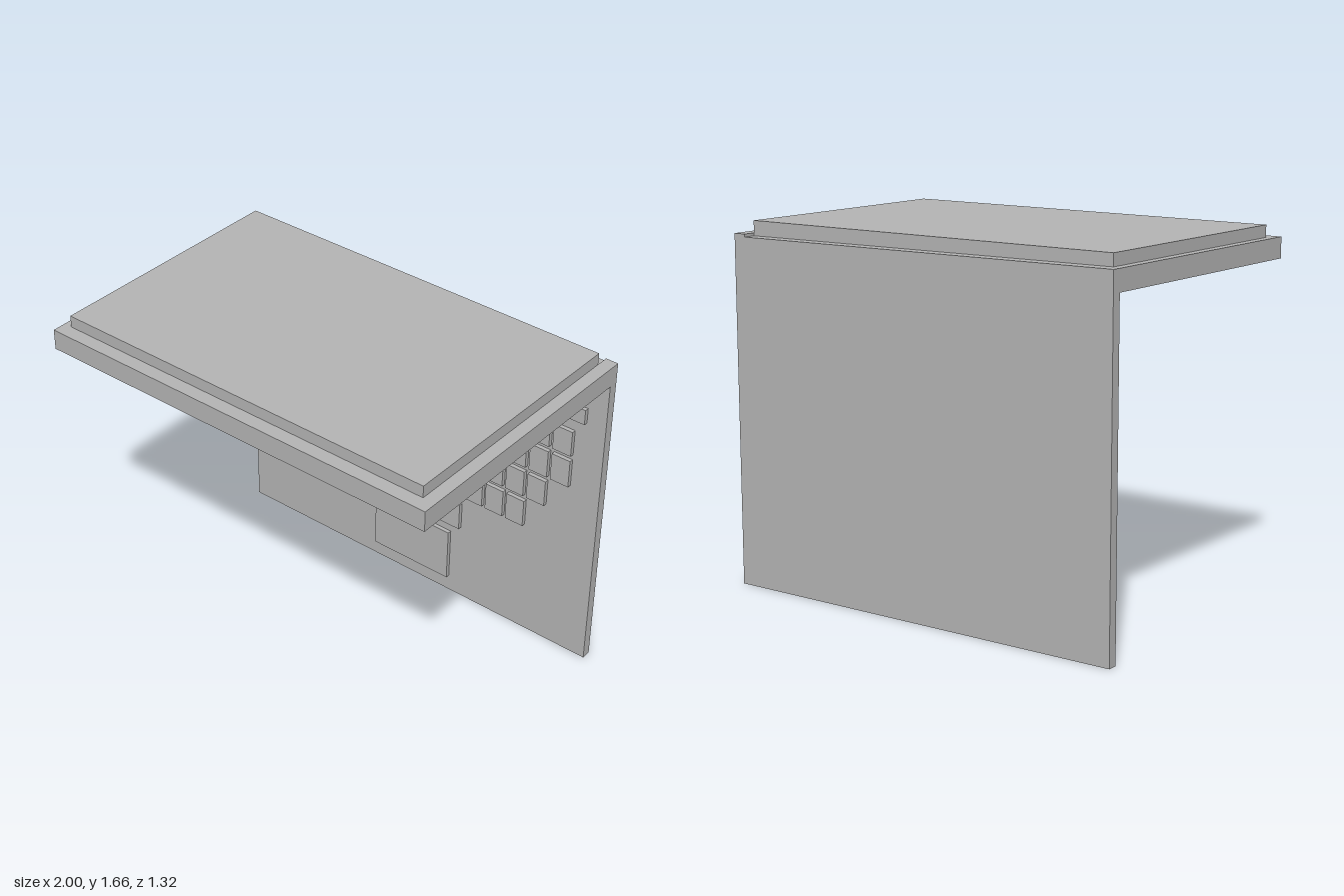
import * as THREE from 'three';

export function createModel() {
  const model = new THREE.Group();
  const grey = new THREE.MeshStandardMaterial({ color: 0xb4b4b4 });
  grey.name = 'plain grey';

  // Box given by its lower and upper limits on each axis
  function block(name, [x0, x1], [y0, y1], [z0, z1], parent = model) {
    const geometry = new THREE.BoxGeometry(x1 - x0, y1 - y0, z1 - z0);
    geometry.translate((x0 + x1) / 2, (y0 + y1) / 2, (z0 + z1) / 2);
    const mesh = new THREE.Mesh(geometry, grey);
    mesh.name = name;
    parent.add(mesh);
    return mesh;
  }

  // Upright keyboard slab
  block('keyboardBase', [-1, 1], [0, 1.51], [-0.66, -0.615]);

  // Raised rim of the screen: three straight bars
  const rim = new THREE.Group();
  rim.name = 'screenRim';
  model.add(rim);
  const rimY = [1.51, 1.605];
  block('rimRight', [-1, -0.96], rimY, [-0.66, 0.66], rim);
  block('rimLeft', [0.94, 1], rimY, [-0.66, 0.66], rim);
  block('rimFront', [-0.96, 0.94], rimY, [0.595, 0.66], rim);

  // Hinge bar sags slightly towards the left
  const hinge = block('rimHinge', [-0.96, 0.94], rimY, [-0.66, -0.6], rim);
  const p = hinge.geometry.attributes.position;
  for (let i = 0; i < p.count; i++) {
    if (p.getX(i) > 0) p.setY(i, p.getY(i) - 0.013);
  }
  hinge.geometry.computeVertexNormals();

  // Screen panel, recessed below and standing proud above the rim
  block('screenPanel', [-0.96, 0.94], [1.535, 1.66], [-0.6, 0.595]);

  // Rows of keys: count, first x, bottom y, top y
  const keyZ = [-0.615, -0.595];
  const keys = new THREE.Group();
  keys.name = 'keys';
  model.add(keys);
  const rows = [
    [16, -0.91, 1.283, 1.358],
    [15, -0.85, 1.091, 1.219],
    [15, -0.85, 0.925, 1.064],
    [13, -0.738, 0.765, 0.898],
    [11, -0.615, 0.599, 0.738],
  ];
  for (const [count, start, y0, y1] of rows) {
    for (let i = 0; i < count; i++) {
      const x = start + i * 0.1145;
      block('key', [x, x + 0.096], [y0, y1], keyZ, keys);
    }
  }
  block('spaceBar', [-0.3, 0.275], [0.406, 0.545], keyZ, keys);
  block('trackpad', [-0.22, 0.217], [0.083, 0.353], keyZ);

  return model;
}
